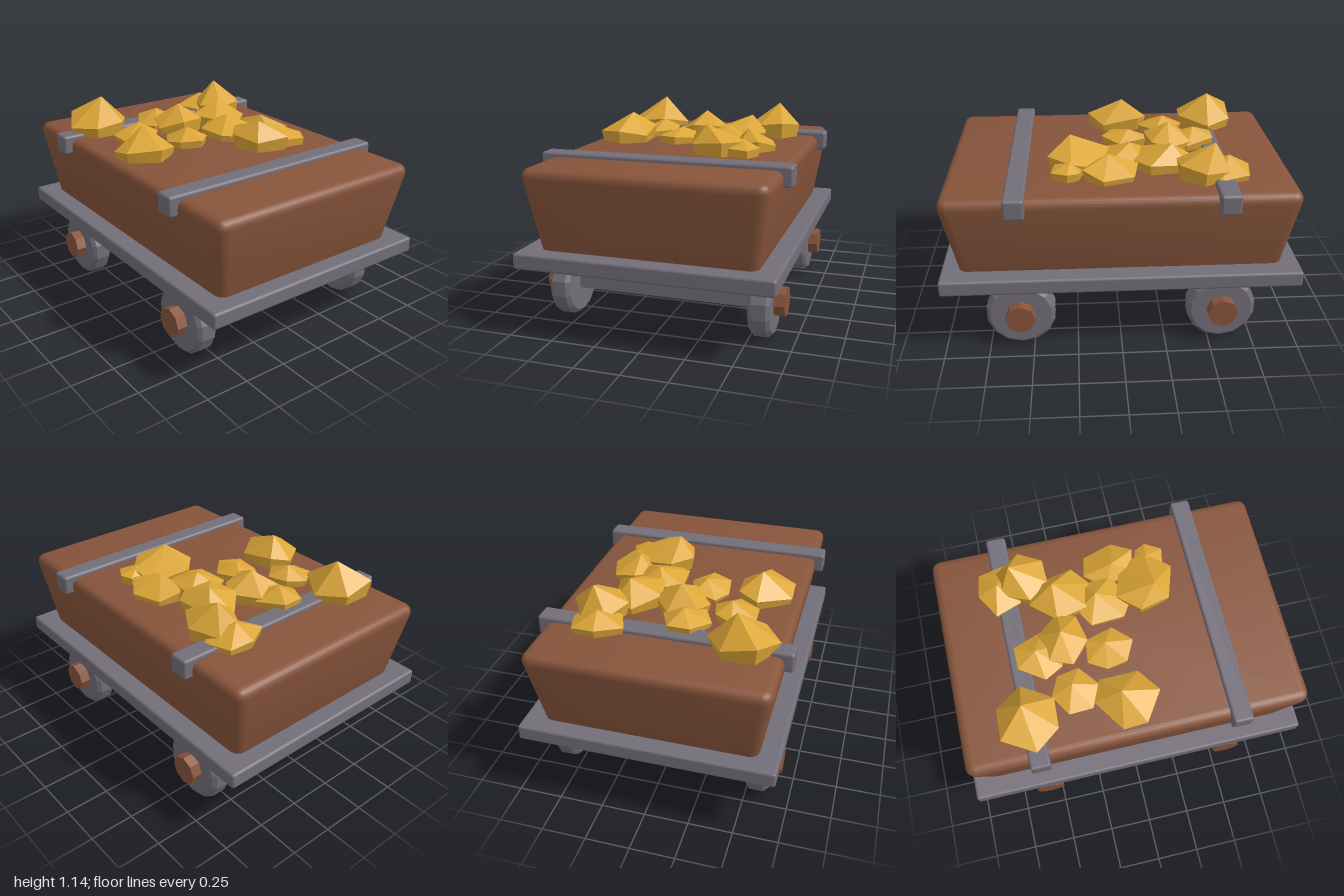
import * as THREE from 'three';
import { RoundedBoxGeometry } from 'three/addons/geometries/RoundedBoxGeometry.js';
import { ConvexGeometry } from 'three/addons/geometries/ConvexGeometry.js';
import { mergeVertices, toCreasedNormals } from 'three/addons/utils/BufferGeometryUtils.js';

export function createModel() {
  const group = new THREE.Group();
  const wood = new THREE.MeshStandardMaterial({ name: 'brown wood', color: 0x87543b });
  const iron = new THREE.MeshStandardMaterial({ name: 'grey iron', color: 0x736e79 });
  const gold = new THREE.MeshStandardMaterial({ name: 'gold', color: 0xdca637 });

  function add(name, geometry, material, x = 0, y = 0, z = 0) {
    const mesh = new THREE.Mesh(geometry, material);
    mesh.name = name;
    mesh.position.set(x, y, z);
    group.add(mesh);
    return mesh;
  }

  // Tub: rounded box whose walls lean outwards towards the top
  const tub = new RoundedBoxGeometry(1.34, 0.57, 1.97, 3, 0.06);
  const p = tub.attributes.position;
  for (let i = 0; i < p.count; i++) {
    const t = 0.5 - p.getY(i) / 0.57;
    p.setX(i, p.getX(i) * (1 - 0.133 * t));
    p.setZ(i, p.getZ(i) * (1 - 0.107 * t));
  }
  tub.deleteAttribute('uv');
  tub.deleteAttribute('normal');
  add('tub', toCreasedNormals(mergeVertices(tub, 1e-4), 0.6), wood, 0, 0.645, 0);

  // Chassis plate
  add('chassis', new RoundedBoxGeometry(1.42, 0.09, 2, 2, 0.015), iron, 0, 0.43, 0);

  // Faceted wheel with bevelled rims, axis along y before turning
  const wheelProfile = [[0, -0.06], [0.175, -0.06], [0.197, -0.04], [0.197, 0.04], [0.175, 0.06], [0, 0.06]]
    .map(([r, h]) => new THREE.Vector2(r, h));
  const wheel = new THREE.LatheGeometry(wheelProfile, 14, Math.PI / 2).toNonIndexed();
  wheel.computeVertexNormals();
  wheel.rotateZ(Math.PI / 2);
  const hub = new THREE.CylinderGeometry(0.085, 0.085, 0.18, 8).toNonIndexed();
  hub.computeVertexNormals();
  hub.rotateZ(Math.PI / 2);

  // Straps, axles, wheels and hubs, front and back
  for (const [end, z] of [['front', 0.57], ['back', -0.57]]) {
    add(end + 'Strap', new RoundedBoxGeometry(1.42, 0.115, 0.115, 2, 0.016), iron, 0, 0.897, z);
    add(end + 'Axle', new THREE.BoxGeometry(1.06, 0.08, 0.08), iron, 0, 0.205, z);
    for (const [side, s] of [['Left', 1], ['Right', -1]]) {
      add(end + side + 'Wheel', wheel, iron, s * 0.57, 0.2, z);
      add(end + side + 'Hub', hub, wood, s * 0.6, 0.205, z);
    }
  }

  // Seeded random numbers from 0 to 1
  let seed = 11;
  const random = () => (seed = (seed * 16807) % 2147483647) / 2147483647;

  // Nugget: buried base ring, uneven rim and an off-centre peak
  function nugget(x, z, rx, rz, peakX, peakZ, top) {
    const points = [new THREE.Vector3(peakX, top, peakZ)];
    const turn = random() * 6.28;
    for (let i = 0; i < 6; i++) {
      const a = turn + (i + 0.35 * (random() - 0.5)) * Math.PI / 3;
      const r = 0.95 + 0.15 * random();
      const dx = Math.cos(a) * rx * r, dz = Math.sin(a) * rz * r;
      const rim = 0.93 + (top - 0.93) * (0.2 + 0.35 * random());
      points.push(new THREE.Vector3(x + dx, rim, z + dz));
      points.push(new THREE.Vector3(x + dx * 0.85, 0.88, z + dz * 0.85));
    }
    return new ConvexGeometry(points);
  }

  // x, z, radius x, radius z, peak x, peak z, peak height
  const nuggets = [
    [-0.43, -0.59, 0.19, 0.18, -0.4, -0.6, 1.14],
    [-0.33, -0.29, 0.13, 0.14, -0.31, -0.31, 1.03],
    [-0.44, -0.03, 0.17, 0.17, -0.43, -0.06, 1.1],
    [-0.13, -0.06, 0.12, 0.14, -0.11, -0.08, 1.02],
    [-0.09, -0.45, 0.14, 0.14, -0.08, -0.47, 1.04],
    [-0.02, -0.3, 0.15, 0.14, -0.02, -0.31, 1.095],
    [0.37, -0.6, 0.16, 0.13, 0.36, -0.61, 1.04],
    [0.39, -0.46, 0.15, 0.16, 0.41, -0.52, 1.135],
    [0.24, -0.26, 0.16, 0.18, 0.28, -0.3, 1.08],
    [0.16, -0.03, 0.16, 0.15, 0.18, -0.07, 1.05],
    [0.38, 0.05, 0.13, 0.16, 0.34, 0.06, 1.05],
    [0.21, 0.22, 0.17, 0.18, 0.15, 0.27, 1.095],
    [0.36, 0.29, 0.1, 0.1, 0.36, 0.27, 1.02],
  ];
  nuggets.forEach((n, i) => add('nugget' + (i + 1), nugget(...n), gold));

  return group;
}
